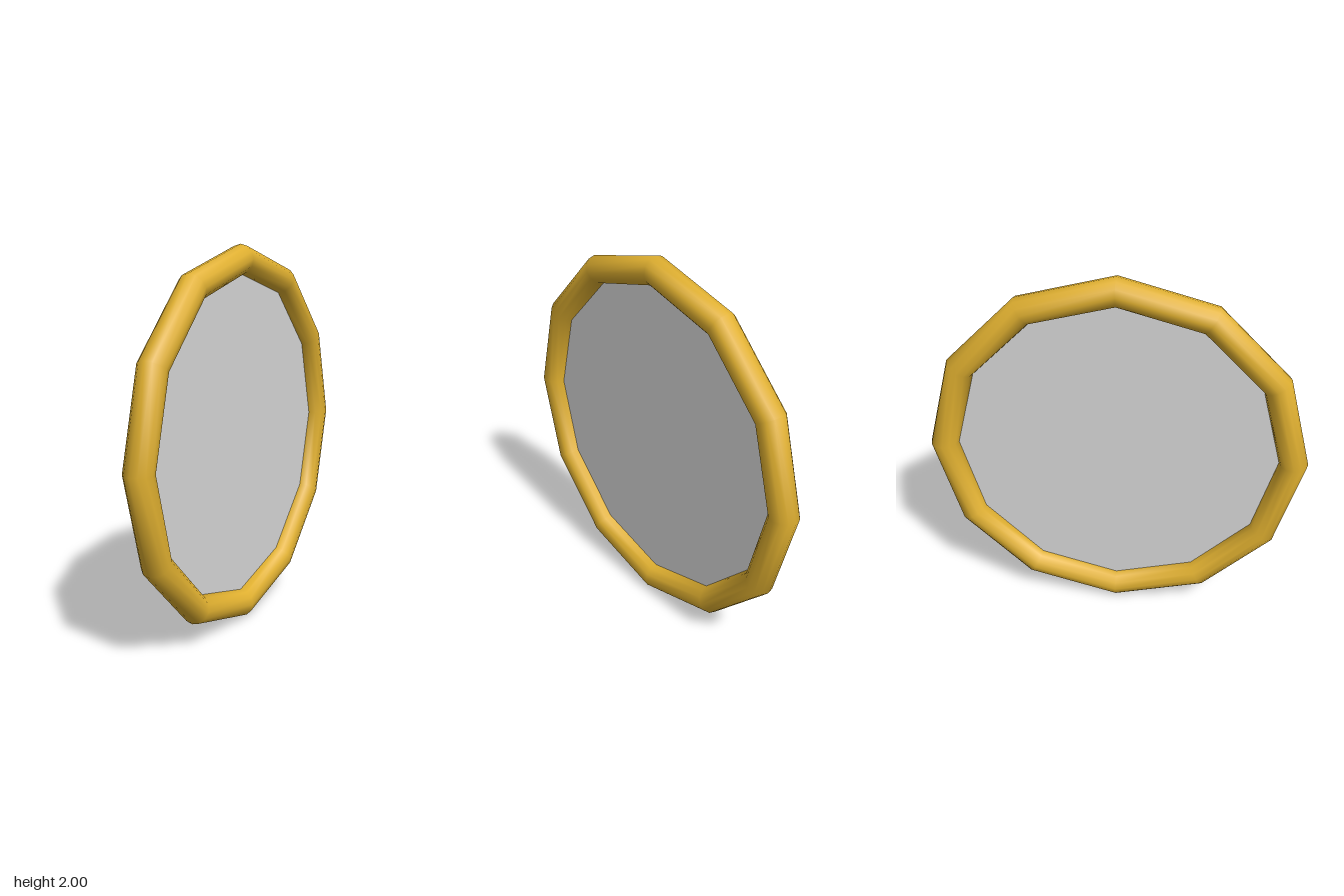
import * as THREE from 'three';

const SIDES = 12;
const TUBE = 0.075;
const RADIUS = 1 - TUBE;

export function createModel() {
  const gold = new THREE.MeshStandardMaterial({ color: 0xe0b030 });
  gold.name = 'gold';
  const glass = new THREE.MeshStandardMaterial({ color: 0xd8d8d8, side: THREE.DoubleSide });
  glass.name = 'pale grey';

  const model = new THREE.Group();
  model.name = 'roundPane';

  // Twelve-sided rim with a smooth round section
  const rim = new THREE.Mesh(new THREE.TorusGeometry(RADIUS, TUBE, 12, SIDES), gold);
  rim.name = 'rim';

  // Thin pane set in the middle of the rim
  const pane = new THREE.Mesh(new THREE.CircleGeometry(RADIUS, SIDES), glass);
  pane.name = 'pane';

  // Both stand upright and face sideways along x
  for (const part of [rim, pane]) {
    part.rotation.y = Math.PI / 2;
    part.position.y = 1;
    model.add(part);
  }
  return model;
}
